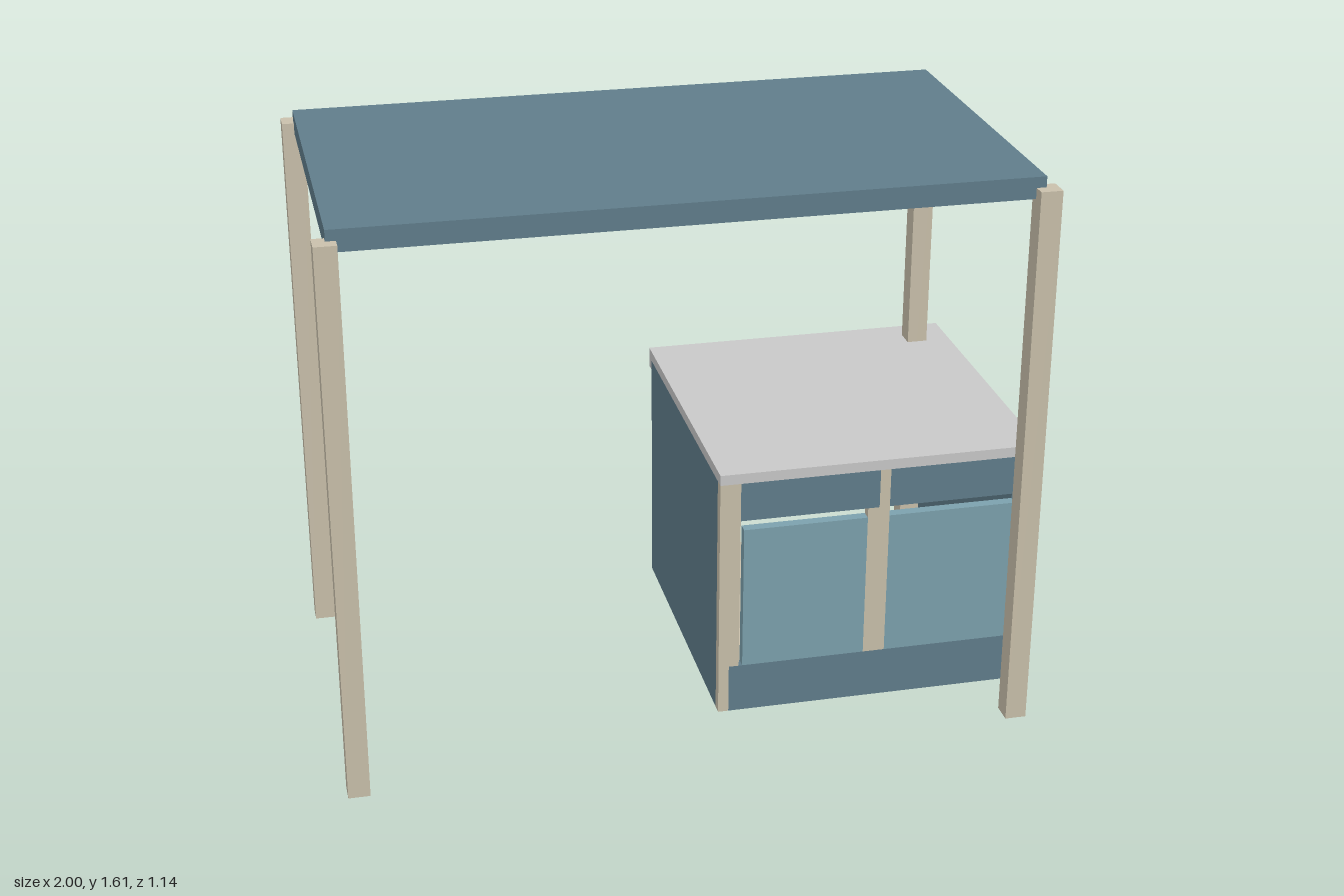
import * as THREE from 'three';

const makeMat = (name, color) => {
  const m = new THREE.MeshStandardMaterial({ color });
  m.name = name;
  return m;
};

export function createModel() {
  const blue = makeMat('slate blue', 0x607d8b);
  const teal = makeMat('pale teal', 0x7ca1ad);
  const wood = makeMat('beige wood', 0xc9c0ab);
  const grey = makeMat('light grey', 0xc8c8c8);

  const model = new THREE.Group();
  model.name = 'canopyStand';

  // Box given by its limits on each axis
  const box = (parent, name, mat, [x0, x1], [y0, y1], [z0, z1]) => {
    const mesh = new THREE.Mesh(new THREE.BoxGeometry(x1 - x0, y1 - y0, z1 - z0), mat);
    mesh.position.set((x0 + x1) / 2, (y0 + y1) / 2, (z0 + z1) / 2);
    mesh.name = name;
    parent.add(mesh);
  };

  // Canopy: flat roof with four corner posts
  const canopy = new THREE.Group();
  canopy.name = 'canopy';
  model.add(canopy);
  box(canopy, 'roof', blue, [-0.967, 0.893], [1.55, 1.61], [-0.467, 0.533]);
  for (const x of [[-1, -0.94], [0.866, 0.926]])
    for (const z of [[-0.498, -0.438], [0.508, 0.568]])
      box(canopy, 'post', wood, x, [0, 1.58], z);

  // Cabinet carcass: floor, two side panels, open back
  const cabinet = new THREE.Group();
  cabinet.name = 'cabinet';
  model.add(cabinet);
  box(cabinet, 'floor', wood, [0.105, 0.97], [0.001, 0.06], [-0.534, 0.325]);
  box(cabinet, 'sidePanel', blue, [0.076, 0.138], [0.06, 0.72], [-0.535, 0.325]);
  box(cabinet, 'sidePanel', blue, [0.937, 1], [0.06, 0.72], [-0.535, 0.325]);
  box(cabinet, 'sidePanelFoot', blue, [0.076, 0.105], [0, 0.06], [-0.535, 0.325]);
  box(cabinet, 'sidePanelFoot', blue, [0.97, 1], [0, 0.06], [-0.535, 0.325]);

  // Worktop with small turned-down corners
  box(cabinet, 'worktop', grey, [0.076, 1], [0.72, 0.75], [-0.568, 0.355]);
  box(cabinet, 'worktopCorner', grey, [0.966, 1], [0.69, 0.72], [0.325, 0.355]);
  for (const x of [[0.076, 0.108], [0.966, 1]])
    box(cabinet, 'worktopCorner', grey, x, [0.69, 0.72], [-0.568, -0.535]);

  // Aprons and plinth
  const face = [0.325, 0.355];
  box(cabinet, 'backApron', blue, [0.108, 0.966], [0.578, 0.72], [-0.568, -0.535]);
  for (const x of [[0.135, 0.535], [0.565, 0.966]])
    box(cabinet, 'frontApron', blue, x, [0.605, 0.72], face);
  box(cabinet, 'plinth', blue, [0.106, 0.966], [0, 0.145], face);

  // Front stiles
  box(cabinet, 'endStile', wood, [0.076, 0.106], [0, 0.72], face);
  box(cabinet, 'endStile', wood, [0.106, 0.135], [0.145, 0.72], face);
  box(cabinet, 'middleStile', wood, [0.502, 0.565], [0.145, 0.605], face);
  box(cabinet, 'middleStile', wood, [0.535, 0.565], [0.605, 0.72], face);

  // Doors
  for (const x of [[0.145, 0.502], [0.565, 0.936]])
    box(cabinet, 'door', teal, x, [0.145, 0.576], face);

  return model;
}
